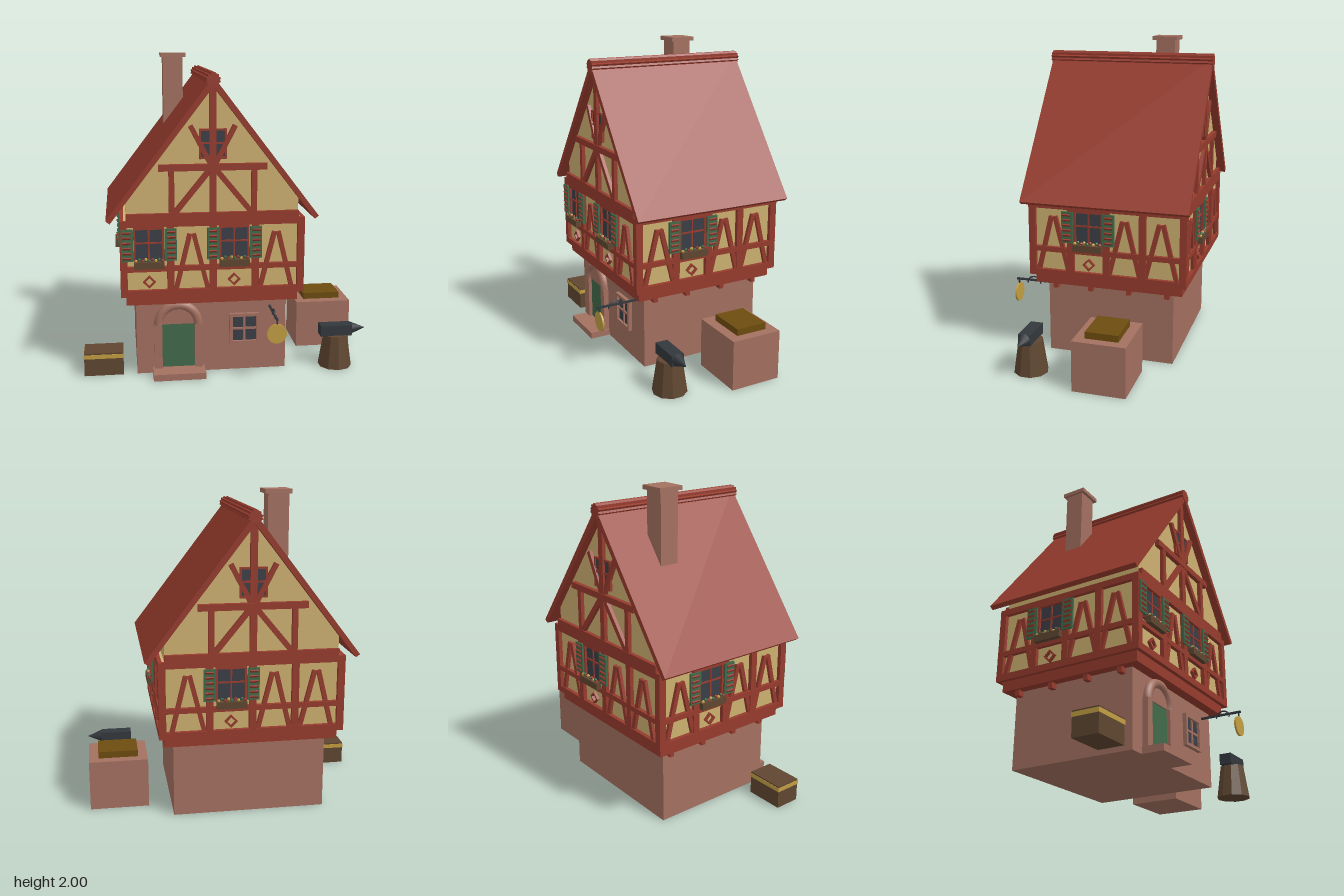
import * as THREE from 'three';

const mat = (name, color) => {
  const m = new THREE.MeshStandardMaterial({ color });
  m.name = name;
  return m;
};

export function createModel() {
  const stone = mat('stone', 0xa37060), plaster = mat('plaster', 0xcdb070), red = mat('red timber', 0x963b2d),
    green = mat('green paint', 0x41694a), glass = mat('dark glass', 0x3a3e46), brown = mat('brown wood', 0x5f4630),
    gold = mat('gold', 0xc29e42), olive = mat('olive lid', 0x6d4c0e), iron = mat('iron', 0x33383d);

  const mesh = (parent, name, geo, material, x = 0, y = 0, z = 0) => {
    const m = new THREE.Mesh(geo, material);
    m.name = name;
    m.position.set(x, y, z);
    parent.add(m);
    return m;
  };
  // box given by its extents
  const span = (p, name, material, x0, x1, y0, y1, z0, z1) =>
    mesh(p, name, new THREE.BoxGeometry(x1 - x0, y1 - y0, z1 - z0), material, (x0 + x1) / 2, (y0 + y1) / 2, (z0 + z1) / 2);
  // beam lying on a wall plane z, running between two points
  const beam = (p, name, x0, y0, x1, y1, w, z, depth) => {
    const m = mesh(p, name, new THREE.BoxGeometry(Math.hypot(x1 - x0, y1 - y0), w, depth), red, (x0 + x1) / 2, (y0 + y1) / 2, z + depth / 2);
    m.rotation.z = Math.atan2(y1 - y0, x1 - x0);
    return m;
  };
  const group = (parent, name, x = 0, y = 0, z = 0) => {
    const g = new THREE.Group();
    g.name = name;
    g.position.set(x, y, z);
    parent.add(g);
    return g;
  };
  const extrude = (points, depth) =>
    new THREE.ExtrudeGeometry(new THREE.Shape(points.map(([x, y]) => new THREE.Vector2(x, y))), { depth, bevelEnabled: false });

  const model = new THREE.Group();
  model.name = 'timberFramedSmithy';
  const house = group(model, 'house', -0.1, 0, -0.07);

  // stone ground floor, jetty beam and plastered upper floor
  span(house, 'stoneBase', stone, -0.478, 0.478, 0, 0.485, -0.41, 0.41);
  span(house, 'jettyBeam', red, -0.537, 0.537, 0.48, 0.545, -0.475, 0.475);
  span(house, 'upperFloor', plaster, -0.545, 0.545, 0.545, 1.02, -0.48, 0.48);
  for (const s of [-1, 1])
    for (const z of [0.35, 0.12, -0.13, -0.375])
      mesh(house, 'corbel', new THREE.BoxGeometry(0.06, 0.04, 0.03), red, s * 0.49, 0.465, z);

  // shuttered window with flower box, on a wall plane z
  const addWindow = (parent, x, z) => {
    const w = group(parent, 'window', x, 0, z);
    span(w, 'windowPane', glass, -0.09, 0.09, 0.76, 0.97, 0, 0.008);
    for (const s of [-1, 1]) {
      span(w, 'windowFrame', red, s * 0.087 - 0.006, s * 0.087 + 0.006, 0.76, 0.97, 0, 0.022);
      span(w, 'shutter', green, s * 0.132 - 0.037, s * 0.132 + 0.037, 0.77, 0.97, 0.02, 0.034);
      for (let i = 0; i < 6; i++) {
        const slat = mesh(w, 'shutterSlat', new THREE.BoxGeometry(0.05, 0.013, 0.014), red, s * 0.135, 0.79 + i * 0.032, 0.033);
        slat.rotation.x = 0.5;
      }
    }
    span(w, 'muntin', red, -0.005, 0.005, 0.76, 0.97, 0, 0.015);
    span(w, 'muntin', red, -0.09, 0.09, 0.875, 0.885, 0, 0.015);
    span(w, 'windowHead', red, -0.093, 0.093, 0.965, 0.98, 0, 0.025);
    span(w, 'flowerBox', brown, -0.092, 0.092, 0.725, 0.768, 0.02, 0.055);
    for (let i = 0; i < 9; i++)
      mesh(w, 'flower', new THREE.IcosahedronGeometry(0.011, 0), [gold, green, red][i % 3], -0.08 + i * 0.02, 0.776 + (i % 2) * 0.008, 0.04);
    // diamond ornament below
    const ring = new THREE.Shape([[0.04, 0], [0, 0.04], [-0.04, 0], [0, -0.04]].map(p => new THREE.Vector2(...p)));
    ring.holes.push(new THREE.Path([[0.026, 0], [0, -0.026], [-0.026, 0], [0, 0.026]].map(p => new THREE.Vector2(...p))));
    mesh(w, 'diamond', new THREE.ExtrudeGeometry(ring, { depth: 0.018, bevelEnabled: false }), red, 0, 0.632, 0);
  };

  // upper-floor wall: four bays, W = window, A = braces
  const addWall = (name, angle, half, plane, bays) => {
    const g = group(house, name);
    g.rotation.y = angle;
    const pitch = (half - 0.045) / 2;
    for (const [y0, y1] of [[0.54, 0.582], [0.7, 0.732], [0.98, 1.02]])
      span(g, 'rail', red, -half, half, y0, y1, plane, plane + 0.025);
    for (let i = -2; i <= 2; i++) {
      const x = Math.abs(i) === 2 ? Math.sign(i) * (half - 0.0225) : i * pitch;
      span(g, 'post', red, x - 0.0215, x + 0.0215, 0.545, 1.02, plane, plane + 0.025);
    }
    [...bays].forEach((bay, i) => {
      const x = (i - 1.5) * pitch;
      if (bay === 'W') return addWindow(g, x, plane);
      for (const s of [-1, 1]) beam(g, 'brace', x + s * 0.098, 0.58, x + s * 0.012, 0.93, 0.028, plane, 0.02);
    });
  };
  addWall('frontWall', 0, 0.57, 0.48, 'WAWA');
  addWall('backWall', Math.PI, 0.57, 0.48, 'AWAA');
  addWall('leftWall', Math.PI / 2, 0.505, 0.545, 'AWAA');
  addWall('rightWall', -Math.PI / 2, 0.505, 0.545, 'AWAA');

  // gables
  mesh(house, 'gablePlaster', extrude([[-0.53, 1.02], [0.53, 1.02], [0.53, 1.16], [0, 1.845], [-0.53, 1.16]], 0.96), plaster, 0, 0, -0.48);
  for (const angle of [0, Math.PI]) {
    const g = group(house, angle ? 'backGable' : 'frontGable');
    g.rotation.y = angle;
    const z = 0.48;
    span(g, 'sill', red, -0.53, 0.53, 1.01, 1.062, z, z + 0.025);
    span(g, 'collarBeam', red, -0.33, 0.33, 1.32, 1.36, z, z + 0.028);
    span(g, 'kingPost', red, -0.021, 0.021, 1.06, 1.83, z, z + 0.024);
    span(g, 'gablePane', glass, -0.075, 0.075, 1.4, 1.57, z, z + 0.008);
    for (const y of [1.395, 1.485, 1.565]) span(g, 'gableFrame', red, -0.082, 0.082, y - 0.006, y + 0.006, z, z + 0.016);
    for (const s of [-1, 1]) {
      span(g, 'gableFrame', red, s * 0.077 - 0.006, s * 0.077 + 0.006, 1.39, 1.57, z, z + 0.016);
      span(g, 'gablePost', red, s * 0.252 - 0.017, s * 0.252 + 0.017, 1.06, 1.32, z, z + 0.024);
      beam(g, 'lowerBrace', s * 0.235, 1.06, s * 0.01, 1.335, 0.034, z, 0.022);
      beam(g, 'upperBrace', s * 0.005, 1.34, s * 0.135, 1.59, 0.03, z, 0.022);
    }
  }

  // roof and ridge
  const roof = [[0, 1.88], [-0.65, 1.03], [-0.625, 1.012], [0, 1.822], [0.625, 1.012], [0.65, 1.03]];
  mesh(house, 'roof', extrude(roof, 1.06), red, 0, 0, -0.53);
  for (let i = 0; i < 3; i++)
    mesh(house, 'ridgeBeam', new THREE.BoxGeometry(0.064, 0.064, 1.07), red, 0, 1.86, 0).rotation.z = i * Math.PI / 6;

  // chimney
  span(model, 'chimney', stone, -0.36, -0.23, 1.4, 1.98, -0.325, -0.2);
  span(model, 'chimneyCap', stone, -0.375, -0.21, 1.974, 2, -0.343, -0.18);

  // arched doorway
  const door = group(model, 'doorway', -0.315, 0, 0.34);
  span(door, 'doorStep', stone, -0.165, 0.165, 0, 0.042, -0.02, 0.138);
  span(door, 'doorLeaf', green, -0.103, 0.103, 0.042, 0.33, -0.01, 0.012);
  for (const s of [-1, 1]) span(door, 'doorJamb', stone, s * 0.129 - 0.026, s * 0.129 + 0.026, 0.04, 0.33, -0.02, 0.035);
  mesh(door, 'doorArch', new THREE.TorusGeometry(0.125, 0.029, 8, 20, Math.PI), stone, 0, 0.33, 0.015);
  const tympanum = new THREE.Shape().absarc(0, 0, 0.1, 0, Math.PI, false);
  mesh(door, 'tympanum', new THREE.ExtrudeGeometry(tympanum, { depth: 0.02, bevelEnabled: false }), stone, 0, 0.33, 0);

  // ground-floor window
  const low = group(model, 'groundWindow', 0.108, 0.28, 0.34);
  span(low, 'groundPane', glass, -0.08, 0.08, -0.085, 0.085, 0, 0.008);
  for (const s of [-1, 1]) {
    span(low, 'stoneFrame', stone, s * 0.086 - 0.01, s * 0.086 + 0.01, -0.1, 0.1, 0, 0.025);
    span(low, 'stoneFrame', stone, -0.096, 0.096, s * 0.091 - 0.01, s * 0.091 + 0.01, 0, 0.025);
  }
  span(low, 'stoneMuntin', stone, -0.007, 0.007, -0.09, 0.09, 0, 0.016);
  span(low, 'stoneMuntin', stone, -0.08, 0.08, -0.007, 0.007, 0, 0.016);

  // hanging disc sign on an iron bracket
  const sign = group(model, 'hangingSign', 0.272, 0, 0);
  span(sign, 'signRod', iron, -0.006, 0.006, 0.414, 0.426, 0.34, 0.612);
  const scroll = mesh(sign, 'signScroll', new THREE.TorusGeometry(0.045, 0.005, 6, 14, Math.PI), iron, 0, 0.4, 0.49);
  scroll.rotation.y = Math.PI / 2;
  span(sign, 'signHook', iron, -0.004, 0.004, 0.385, 0.42, 0.594, 0.602);
  mesh(sign, 'signDisc', new THREE.CylinderGeometry(0.062, 0.062, 0.012, 24), gold, 0, 0.328, 0.597).rotation.x = Math.PI / 2;

  // anvil on a stump
  const anvil = group(model, 'anvil', 0.71, 0, 0.34);
  const stump = new THREE.CylinderGeometry(0.077, 0.108, 0.21, 10).toNonIndexed();
  stump.computeVertexNormals();
  mesh(anvil, 'stump', stump, brown, 0, 0.105, 0);
  span(anvil, 'anvilBody', iron, -0.105, 0.1, 0.207, 0.277, -0.04, 0.04);
  mesh(anvil, 'anvilHorn', new THREE.ConeGeometry(0.04, 0.097, 10), iron, 0.148, 0.245, 0).rotation.z = -Math.PI / 2;

  // stone block with lid, beside the house
  span(model, 'stoneBlock', stone, 0.524, 0.895, 0, 0.318, -0.322, 0.01);
  span(model, 'blockLid', olive, 0.585, 0.835, 0.318, 0.36, -0.26, -0.055);

  // chest
  span(model, 'chestBody', brown, -0.912, -0.665, 0, 0.115, 0.175, 0.343);
  span(model, 'chestBand', gold, -0.915, -0.662, 0.113, 0.14, 0.172, 0.346);
  span(model, 'chestLid', brown, -0.912, -0.665, 0.139, 0.149, 0.175, 0.343);
  return model;
}
